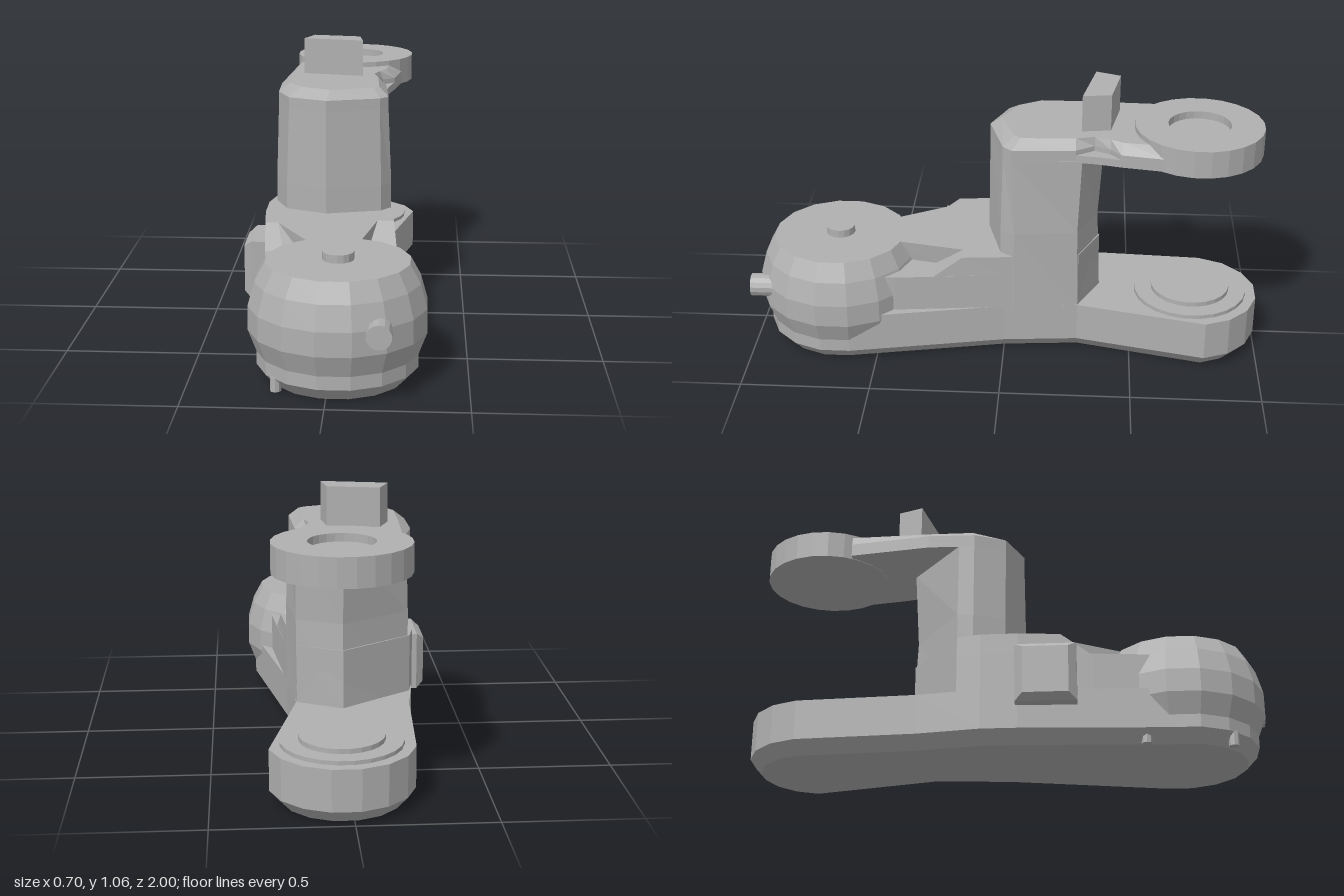
import * as THREE from 'three';

const gray = new THREE.MeshStandardMaterial({ color: 0xb0b0b0, flatShading: true });
gray.name = 'plain gray';

// Solid through stacked rings; each ring is [y, [[x, z], ...]], clockwise seen from above
function loft(rings) {
  const pos = [];
  const index = [];
  const n = rings[0][1].length;
  rings.forEach(([y, pts]) => pts.forEach(([x, z]) => pos.push(x, y, z)));
  for (let r = 0; r < rings.length - 1; r++) {
    for (let i = 0; i < n; i++) {
      const a = r * n + i, b = r * n + (i + 1) % n;
      index.push(a, a + n, b + n, a, b + n, b);
    }
  }
  const cap = (r, up) => {
    const pts = rings[r][1].map(([x, z]) => new THREE.Vector2(x, z));
    for (const [a, b, c] of THREE.ShapeUtils.triangulateShape(pts.slice(), [])) {
      const cross = (pts[b].x - pts[a].x) * (pts[c].y - pts[a].y) - (pts[b].y - pts[a].y) * (pts[c].x - pts[a].x);
      const k = r * n;
      if ((cross < 0) === up) index.push(k + a, k + b, k + c);
      else index.push(k + a, k + c, k + b);
    }
  };
  cap(0, false);
  cap(rings.length - 1, true);
  const g = new THREE.BufferGeometry();
  g.setAttribute('position', new THREE.Float32BufferAttribute(pos, 3));
  g.setIndex(index);
  const flat = g.toNonIndexed();
  flat.computeVertexNormals();
  return flat;
}

// Turned part; profile runs bottom to top, with a flat side facing the front
function turned(profile, sides) {
  const g = new THREE.LatheGeometry(profile.map(([r, y]) => new THREE.Vector2(r, y)), sides);
  return g.rotateY(Math.PI / sides);
}

export function createModel() {
  const model = new THREE.Group();
  const add = (name, geometry, x = 0, y = 0, z = 0) => {
    const mesh = new THREE.Mesh(geometry, gray);
    mesh.name = name;
    mesh.position.set(x, y, z);
    model.add(mesh);
    return mesh;
  };
  const CX = 0.03, FRONT = 0.66, REAR = -0.737;

  // Sole: two round ends joined by a bent waist, chamfered below
  const sole = (d) => {
    const pts = [[0.175 - d, -0.29], [0.2 - d, 0]];
    const arc = (cz, r, from, to) => {
      for (let i = from; i <= to; i++) {
        const t = (i + 0.5) * Math.PI / 8;
        pts.push([CX + r * Math.cos(t), cz + r * Math.sin(t)]);
      }
    };
    arc(FRONT, 0.295 - d, -1, 8);
    pts.push([-0.29 + d, 0.05], [-0.29 + d, -0.09], [-0.255 + d, -0.33]);
    arc(REAR, 0.265 - d, 8, 15);
    return pts;
  };
  add('sole', loft([[0, sole(0.045)], [0.05, sole(0)], [0.205, sole(0)]]));

  // Side walls between the drum and the column
  const wall = [[0.172, -0.29], [0.205, 0], [0.25, 0.42], [0.25, 0.58], [-0.24, 0.58],
    [-0.265, 0.33], [-0.29, 0.05], [-0.29, -0.09], [-0.27, -0.18], [0, -0.37]];
  add('lowerBody', loft([[0.2, wall], [0.35, wall]]));

  // Deck tapering towards the drum with sloped shoulders
  add('deck', loft([
    [0.35, [[0.172, -0.29], [0.205, 0], [0.232, 0.27], [0.125, 0.27], [0.09, 0.44], [-0.1, 0.44],
      [-0.2, 0.32], [-0.267, 0.32], [-0.29, 0.05], [-0.29, -0.09], [-0.27, -0.18], [0, -0.37]]],
    [0.43, [[0.172, -0.29], [0.205, 0], [0.219, 0.16], [0.155, 0.16], [0.1, 0.44], [-0.1, 0.44],
      [-0.225, 0.21], [-0.276, 0.21], [-0.29, 0.05], [-0.29, -0.09], [-0.27, -0.18], [0, -0.37]]],
  ]));

  // Front drum with its knob and peg
  add('drum', turned([[0.295, 0.1], [0.325, 0.18], [0.325, 0.27], [0.3, 0.36], [0.262, 0.43], [0, 0.43]], 16), CX, 0, FRONT);
  add('drumKnob', new THREE.CylinderGeometry(0.057, 0.057, 0.06, 16), CX, 0.43, FRONT);
  add('drumPeg', new THREE.CylinderGeometry(0.045, 0.045, 0.2, 14).rotateX(Math.PI / 2), 0.185, 0.262, 0.9);
  for (const [x, z] of [[-0.228, 0.52], [-0.18, 0.84]]) {
    add('footPin', new THREE.CylinderGeometry(0.02, 0.02, 0.055, 8), x, 0.0275, z);
  }

  // Rear pad discs
  add('padRim', turned([[0.222, 0.2], [0.222, 0.22], [0, 0.22]], 24), CX, 0, REAR);
  add('padDisc', turned([[0.155, 0.21], [0.155, 0.238], [0, 0.238]], 24), CX, 0, REAR);

  // Upright column
  add('column', loft([
    [0.2, [[0.172, -0.29], [0.205, -0.04], [0.165, 0.015], [-0.05, 0.072], [-0.21, 0], [-0.262, -0.12], [-0.265, -0.18], [0, -0.375]]],
    [0.53, [[0.174, -0.283], [0.203, -0.04], [0.164, 0.013], [-0.05, 0.07], [-0.21, 0], [-0.26, -0.12], [-0.262, -0.18], [0, -0.36]]],
    [0.835, [[0.176, -0.295], [0.19, -0.03], [0.157, 0.005], [-0.05, 0.065], [-0.2, 0], [-0.25, -0.12], [-0.252, -0.18], [0, -0.378]]],
  ]));

  // Upper arm: head of the column reaching back to the ring, notched on one side
  const head = [[0.19, -0.03], [0.157, 0.005], [-0.05, 0.065], [-0.2, 0], [-0.25, -0.12], [-0.253, -0.3], [-0.205, -0.61]];
  const plain = [[0.235, -0.61], [0.206, -0.44], [0.196, -0.4], [0.184, -0.34], [0.176, -0.27], ...head];
  const notched = [[0.235, -0.61], [0.206, -0.44], [0.158, -0.4], [0.13, -0.34], [0.176, -0.27], ...head];
  const top = [[0.19, -0.61], [0.17, -0.45], [0.145, -0.4], [0.125, -0.34], [0.142, -0.27],
    [0.152, -0.06], [0.13, -0.04], [-0.037, 0.02], [-0.155, -0.04], [-0.206, -0.13], [-0.206, -0.3], [-0.195, -0.61]];
  add('upperArm', loft([[0.83, plain], [0.86, plain], [0.86, notched], [0.88, notched], [0.915, top]]));

  // Upper ring with a shallow recess
  add('upperRing', turned([[0, 0.828], [0.247, 0.828], [0.247, 0.935], [0.12, 0.935], [0.12, 0.905], [0, 0.905]], 24), CX, 0, REAR);

  // Block on the arm
  const block = [[0.063, -0.4], [0.079, -0.29], [-0.164, -0.34], [-0.127, -0.435]];
  add('topBlock', loft([[0.9, block], [1.06, block]]));

  // Bevelled box on the side wall, lofted upright and then turned outwards
  const rect = (h, w) => [[h, -w], [h, w], [-h, w], [-h, -w]];
  const box = loft([[0, rect(0.115, 0.115)], [0.06, rect(0.115, 0.115)], [0.09, rect(0.092, 0.085)]]);
  add('sideBox', box.rotateZ(Math.PI / 2), -0.265, 0.255, 0.155);

  return model;
}
